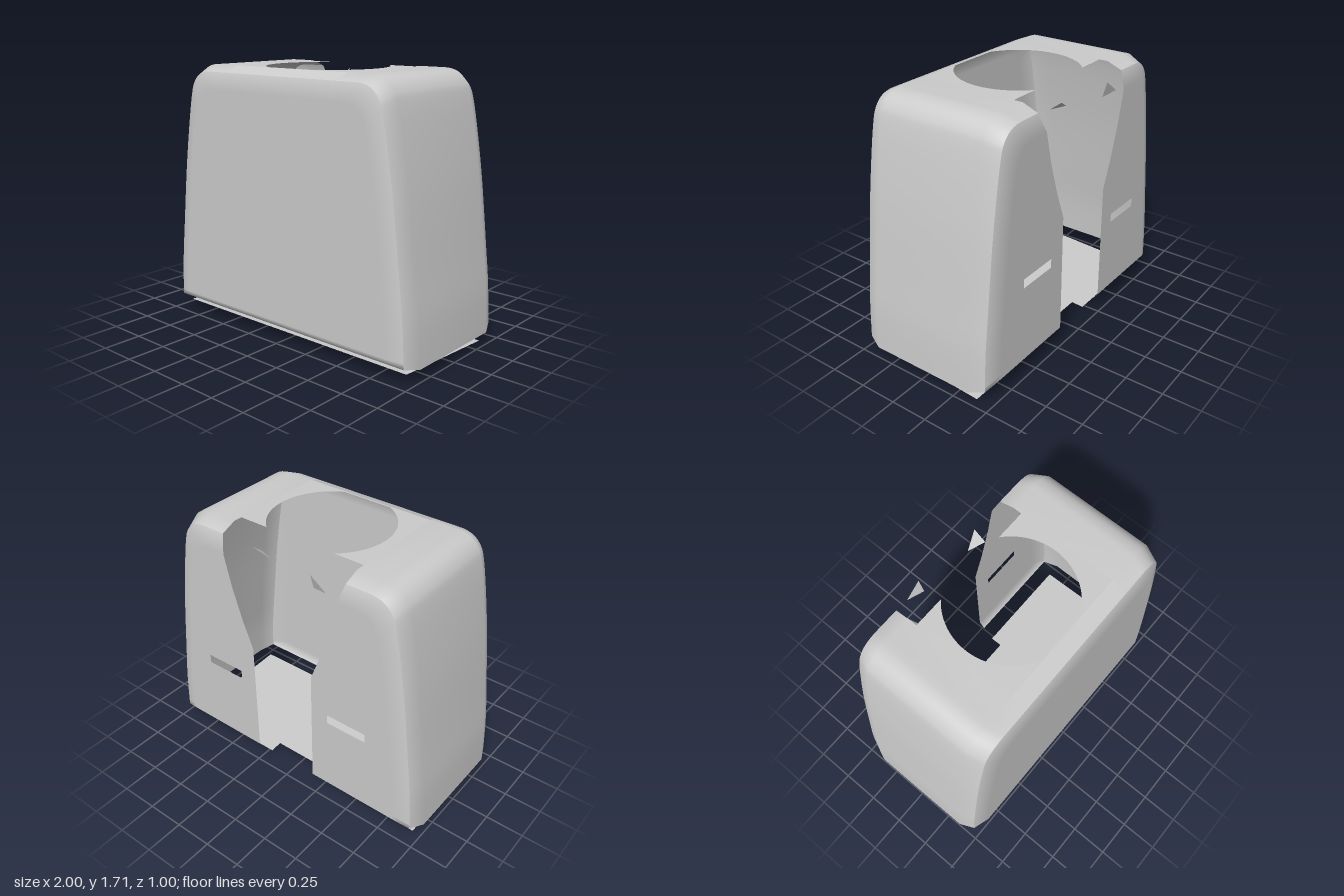
import * as THREE from 'three';

const material = new THREE.MeshStandardMaterial({ color: 0xcccccc, side: THREE.DoubleSide });

// Half outline of the housing, from the bottom edge up and around the shoulder
const outline = new THREE.SplineCurve([
  [1, 0.08], [0.985, 0.35], [0.955, 0.62], [0.905, 1.04], [0.855, 1.36], [0.815, 1.56],
  [0.785, 1.635], [0.735, 1.685], [0.67, 1.707], [0.6, 1.71],
].map(p => new THREE.Vector2(...p))).getPoints(45);

// The outline squeezed to a narrower width and new bottom and top heights
const fit = (width, bottom, top) => outline.map(p =>
  [p.x * width, bottom + (p.y - 0.08) / 1.63 * (top - bottom)]);

const OUTER = fit(1, 0.08, 1.71);
const EDGE = fit(0.957, 0.1, 1.67);
const FACE = fit(0.85, 0.15, 1.56);

const row = (points, side, z) => points.map(([x, y]) => [x * side, y, z]);

// Skin between rows of equal length
function loft(rows, flip) {
  const n = rows[0].length, index = [];
  for (let i = 0; i < rows.length - 1; i++) {
    for (let j = 0; j < n - 1; j++) {
      const a = i * n + j, b = a + 1, c = a + n, d = c + 1;
      if (flip) index.push(a, c, b, b, c, d);
      else index.push(a, b, c, b, d, c);
    }
  }
  const g = new THREE.BufferGeometry();
  g.setAttribute('position', new THREE.Float32BufferAttribute(rows.flat(2), 3));
  g.setIndex(index);
  g.computeVertexNormals();
  return g;
}

// Blend one row of a skin into a flat panel facing along z
function flattenRow(g, rowIndex, n, nz) {
  for (let j = 0; j < n; j++) g.attributes.normal.setXYZ(rowIndex * n + j, 0, 0, nz);
  return g;
}

const toShape = pts => new THREE.Shape(pts.map(([x, y]) => new THREE.Vector2(x, y)));

export function createModel() {
  const group = new THREE.Group();
  const add = (name, geometry) => {
    const mesh = new THREE.Mesh(geometry, material);
    mesh.name = name;
    group.add(mesh);
    return mesh;
  };

  for (const side of [1, -1]) {
    const label = side > 0 ? 'left' : 'right', flip = side < 0;

    // Side wall, shoulder and outer part of the top
    const wall = (pts, y, z) => row([...pts, [0.45, y]], side, z);
    add(label + 'Side', loft([
      wall(EDGE, 1.67, -0.46), wall(OUTER, 1.71, -0.36),
      wall(OUTER, 1.71, 0.36), wall(EDGE, 1.67, 0.46),
    ], flip));

    // Shallow bevel around the front panel
    const front = (pts, y0, y1, z) => row([[0, y0], ...pts, [0, y1]], side, z);
    const n = outline.length + 2;
    add(label + 'FrontBevel', flattenRow(loft([
      front(EDGE, 0.1, 1.67, 0.46), front(FACE, 0.15, 1.56, 0.5),
    ], flip), 1, n, 1));

    // Bevel around the back panel, stopping at the open channel
    const backEdge = [[0.23, 0.1], ...EDGE, [0.45, 1.67]];
    const backFace = [[0.23, 0.15], ...FACE, [0.42, 1.56]];
    add(label + 'BackBevel', flattenRow(loft([
      row(backFace, side, -0.5), row(backEdge, side, -0.46),
    ], flip), 0, n, -1));

    // Back panel with flared channel edge and a slot
    const panel = toShape([...backFace, [0.37, 1.35], [0.3, 1.13], [0.23, 0.95]]
      .map(([x, y]) => [-side * x, y]));
    panel.holes.push(toShape([[0.35, 0.66], [0.63, 0.66], [0.63, 0.72], [0.35, 0.72]]
      .map(([x, y]) => [-side * x, y])));
    add(label + 'BackPanel', new THREE.ShapeGeometry(panel).rotateY(Math.PI).translate(0, 0, -0.5));
  }

  // Front panel
  add('frontPanel', new THREE.ShapeGeometry(toShape([
    ...FACE, ...FACE.map(([x, y]) => [-x, y]).reverse(),
  ])).translate(0, 0, 0.5));

  // Middle of the top with the round opening running into the back channel
  const opening = [], start = Math.asin(0.3 / 0.39);
  for (let i = 0; i <= 64; i++) {
    const t = -start + (Math.PI + 2 * start) * i / 64;
    opening.push([0.39 * Math.cos(t), -Math.min(0.35, 0.39 * Math.sin(t))]);
  }
  add('top', new THREE.ShapeGeometry(toShape([
    [0.45, 0.3], ...opening, [-0.45, 0.3], [-0.45, -0.36], [0.45, -0.36],
  ])).rotateX(-Math.PI / 2).translate(0, 1.71, 0));
  add('topFrontBevel', loft([
    [[0.45, 1.71, 0.36], [-0.45, 1.71, 0.36]], [[0.45, 1.67, 0.46], [-0.45, 1.67, 0.46]],
  ]));

  // Slightly tilted base plate, notched at the channel
  const base = new THREE.ShapeGeometry(toShape([
    [-0.94, -0.385], [-0.23, -0.385], [-0.23, -0.3], [0.23, -0.3], [0.23, -0.385],
    [0.94, -0.385], [0.935, 0.4], [-0.935, 0.4],
  ])).rotateX(Math.PI / 2);
  const p = base.attributes.position;
  for (let i = 0; i < p.count; i++) p.setY(i, (p.getZ(i) + 0.385) * 0.057);
  base.computeVertexNormals();
  add('basePlate', base);

  // Small loose tabs beside the mouth of the channel
  const tab = (name, pts) => {
    const g = new THREE.BufferGeometry().setFromPoints(pts.map(v => new THREE.Vector3(...v)));
    g.computeVertexNormals();
    add(name, g);
  };
  tab('leftTab', [[0.22, 1.6, -0.38], [0.22, 1.66, -0.46], [0.11, 1.6, -0.42]]);
  tab('rightTab', [[-0.23, 1.56, -0.46], [-0.23, 1.66, -0.49], [-0.34, 1.58, -0.49]]);
  return group;
}
